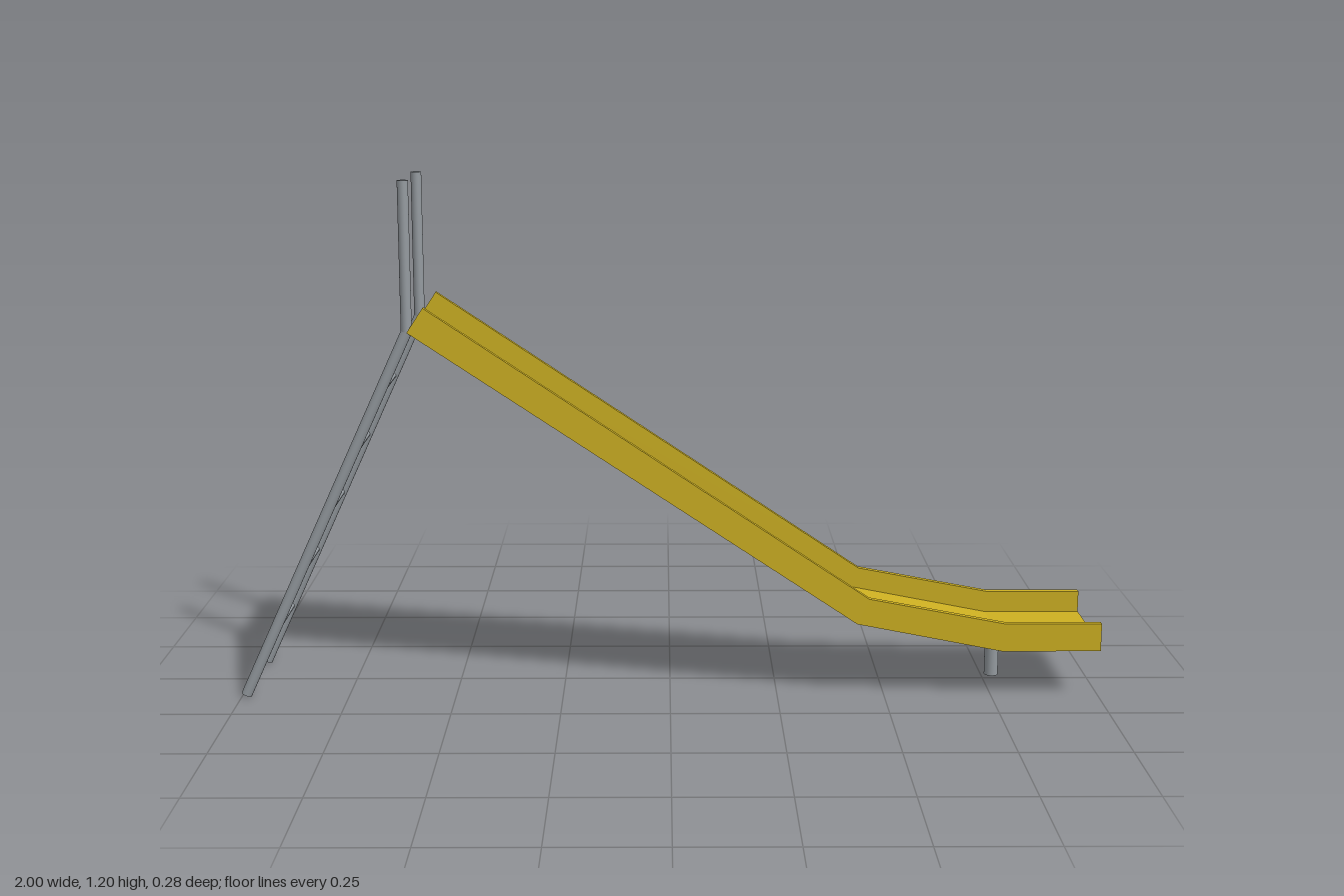
import * as THREE from 'three';

export function createModel() {
  const model = new THREE.Group();
  const yellow = new THREE.MeshStandardMaterial({ color: 0xcdb021 });
  yellow.name = 'slide yellow';
  const steel = new THREE.MeshStandardMaterial({ color: 0x949a9f });
  steel.name = 'steel grey';

  const add = (name, geometry, material) => {
    const mesh = new THREE.Mesh(geometry, material);
    mesh.name = name;
    model.add(mesh);
    return mesh;
  };

  // Round bar between two points
  const bar = (name, from, to, radius) => {
    const a = new THREE.Vector3(...from), b = new THREE.Vector3(...to);
    const dir = b.clone().sub(a);
    const mesh = add(name, new THREE.CylinderGeometry(radius, radius, dir.length(), 20), steel);
    mesh.position.copy(a).add(b).multiplyScalar(0.5);
    mesh.quaternion.setFromUnitVectors(new THREE.Vector3(0, 1, 0), dir.normalize());
  };

  // Side profile of the chute: underside and upper rim
  const under = [[-0.592, 0.86], [0.433, 0.178], [0.77, 0.112], [1, 0.112]]
    .map(p => new THREE.Vector2(...p));
  const rim = [[-0.555, 0.916], [0.46, 0.238], [0.777, 0.178], [1, 0.178]]
    .map(p => new THREE.Vector2(...p));
  const bedTop = under.map((p, i) => p.clone().lerp(rim[i], 0.23));

  // Extrude the band between two profile lines across z0..z1
  const band = (low, high, z0, z1) => new THREE.ExtrudeGeometry(
    new THREE.Shape([...low, ...[...high].reverse()]),
    { depth: z1 - z0, bevelEnabled: false }).translate(0, 0, z0);

  add('slideBed', band(under, bedTop, -0.126, 0.126), yellow);
  add('leftSideWall', band(under, rim, -0.142, -0.126), yellow);
  add('rightSideWall', band(under, rim, 0.126, 0.142), yellow);

  // Ladder rails and upright handles
  const foot = [-0.989, 0.005], top = [-0.594, 0.86], railZ = 0.126, r = 0.0125;
  for (const [side, z] of [['right', railZ], ['left', -railZ]]) {
    bar(side + 'LadderRail', [...foot, z], [...top, z], r);
    bar(side + 'Handle', [...top, z], [top[0], 1.2, z], r);
    const joint = add(side + 'RailJoint', new THREE.SphereGeometry(r, 16, 10), steel);
    joint.position.set(...top, z);
  }

  // Rungs
  for (let i = 1; i <= 5; i++) {
    const t = i / 6;
    const x = foot[0] + (top[0] - foot[0]) * t;
    const y = foot[1] + (top[1] - foot[1]) * t;
    bar('rung' + i, [x, y, -railZ], [x, y, railZ], 0.0075);
  }

  // Support post under the run-out
  bar('supportPost', [0.77, 0.01, 0], [0.77, 0.118, 0], 0.0165);

  return model;
}
